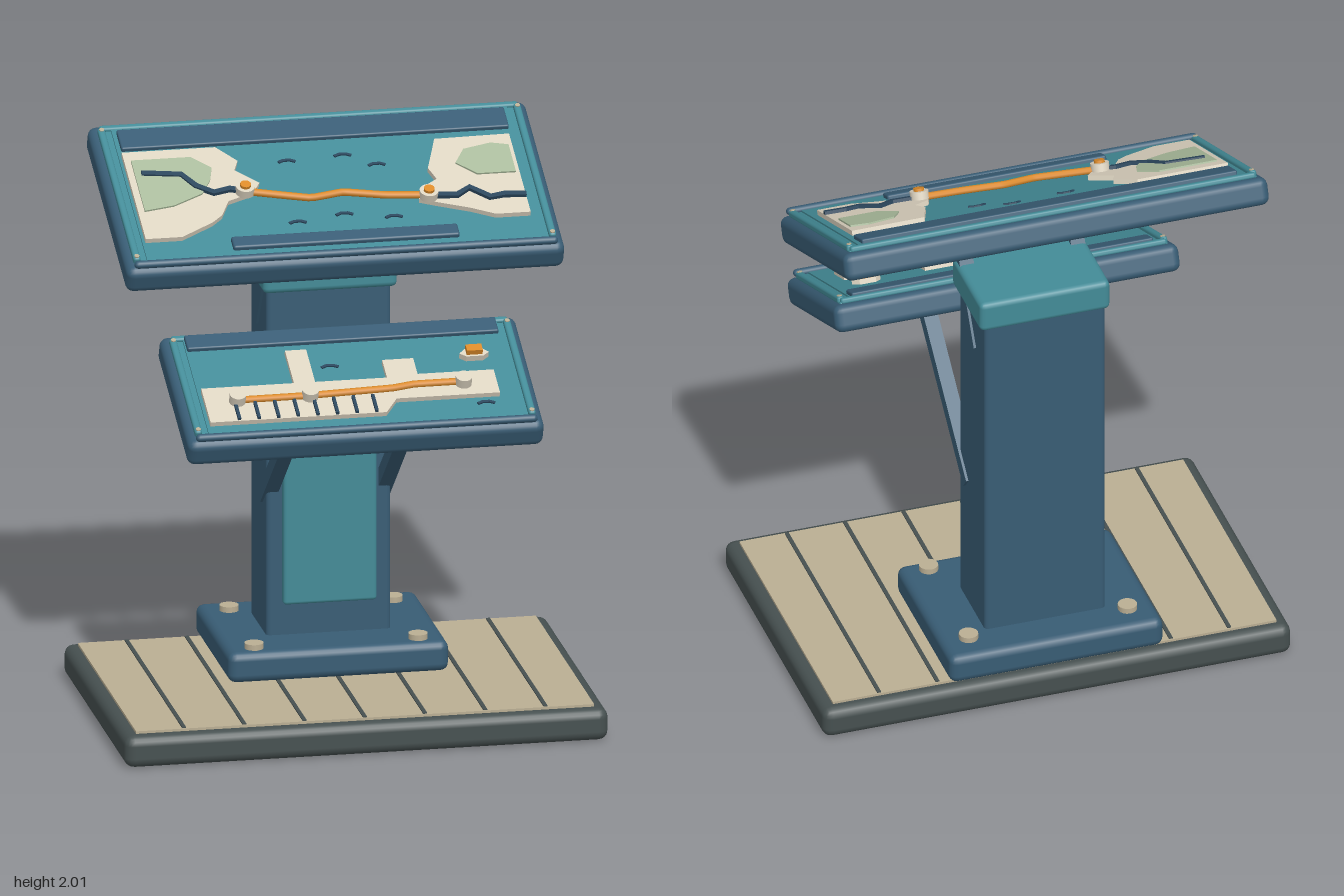
import * as THREE from 'three';
import { RoundedBoxGeometry } from 'three/addons/geometries/RoundedBoxGeometry.js';

const paint = (name, color) => {
  const m = new THREE.MeshStandardMaterial({ color });
  m.name = name;
  return m;
};

export function createModel() {
  const navy = paint('navy', 0x385c74);
  const darkNavy = paint('dark navy', 0x2a465c);
  const teal = paint('teal', 0x438b97);
  const land = paint('land cream', 0xdcd3c0);
  const moss = paint('moss green', 0xaabb9c);
  const orange = paint('orange', 0xdb8a28);
  const deckTan = paint('deck tan', 0xbaae93);
  const charcoal = paint('charcoal', 0x465050);

  const model = new THREE.Group();
  model.name = 'mapStand';

  const add = (parent, name, geo, mat, x = 0, y = 0, z = 0) => {
    const m = new THREE.Mesh(geo, mat);
    m.name = name;
    m.position.set(x, y, z);
    parent.add(m);
    return m;
  };
  const box = (w, h, d) => new THREE.BoxGeometry(w, h, d);
  const rbox = (w, h, d, r) => new RoundedBoxGeometry(w, h, d, 2, r);
  const disc = (r, h, n = 16) => new THREE.CylinderGeometry(r, r, h, n);

  // Flat raised plate from an [x, z] outline
  const plate = (pts, h) => {
    const shape = new THREE.Shape(pts.map(([x, z]) => new THREE.Vector2(x, -z)));
    return new THREE.ExtrudeGeometry(shape, { depth: h, bevelEnabled: false }).rotateX(-Math.PI / 2);
  };
  // Constant-width strip along an [x, z] path
  const ribbon = (pts, width, h) => {
    const left = [], right = [];
    pts.forEach(([x, z], i) => {
      const a = pts[Math.max(i - 1, 0)], b = pts[Math.min(i + 1, pts.length - 1)];
      const len = Math.hypot(b[0] - a[0], b[1] - a[1]);
      const nx = -(b[1] - a[1]) / len * width / 2, nz = (b[0] - a[0]) / len * width / 2;
      left.push([x + nx, z + nz]);
      right.unshift([x - nx, z - nz]);
    });
    return plate([...left, ...right], h);
  };
  const route = (pts, y, r) => new THREE.TubeGeometry(
    new THREE.CatmullRomCurve3(pts.map(([x, z]) => new THREE.Vector3(x, y, z)), false, 'catmullrom', 0.1),
    32, r, 8);

  // Base with plank deck
  add(model, 'baseSlab', rbox(1.71, 0.115, 1.13, 0.035), charcoal, 0, 0.0575, 0);
  add(model, 'deck', box(1.62, 0.02, 1.04), deckTan, 0, 0.114, 0);
  for (let i = -3; i <= 3; i++) add(model, 'plankGap', box(0.014, 0.006, 1.03), charcoal, i * 0.213, 0.125, 0);

  // Foot plate and bolts
  add(model, 'footPlate', rbox(0.78, 0.11, 0.615, 0.03), navy, 0, 0.18, -0.247);
  for (const x of [-0.29, 0.29]) for (const z of [0, -0.445])
    add(model, 'footBolt', disc(0.034, 0.03), deckTan, x, 0.24, z);

  // Column, front panel and cap
  add(model, 'column', rbox(0.44, 1.33, 0.285, 0.015), navy, 0, 0.865, -0.273);
  add(model, 'columnPanel', rbox(0.33, 0.95, 0.04, 0.012), teal, 0, 0.825, -0.12);
  add(model, 'columnCap', rbox(0.475, 0.115, 0.325, 0.02), teal, 0, 1.543, -0.258);

  // Mirrored support struts
  const strut = (name, y0, z0, y1, z1) => {
    for (const x of [-0.203, 0.203]) {
      const s = add(model, name, box(0.052, 0.052, Math.hypot(y1 - y0, z1 - z0)), navy, x, (y0 + y1) / 2, (z0 + z1) / 2);
      s.rotation.x = -Math.atan2(y1 - y0, z1 - z0);
    }
  };
  strut('upperStrut', 1.34, -0.295, 1.74, -0.045);
  strut('lowerStrut', 0.72, -0.215, 1.18, 0.345);

  // Tilted display board with rim, rails and title bar
  const TOP = 0.064;
  const board = (name, w, d, y, z, header) => {
    const g = new THREE.Group();
    g.name = name;
    g.position.set(0, y, z);
    g.rotation.x = 0.4;
    model.add(g);
    const hx = w / 2 - 0.04, hz = d / 2 - 0.04;
    add(g, 'boardBody', rbox(w, 0.1, d, 0.03), navy);
    add(g, 'boardBezel', rbox(w - 0.06, 0.03, d - 0.06, 0.01), teal, 0, 0.043, 0);
    add(g, 'boardField', box(w - 0.15, 0.02, d - 0.09), teal, 0, TOP - 0.01, 0);
    for (const s of [-1, 1]) {
      add(g, 'sideRail', rbox(0.026, 0.026, d - 0.09, 0.009), teal, s * hx, 0.06, 0);
      for (const t of [-1, 1]) add(g, 'cornerScrew', disc(0.009, 0.012, 10), deckTan, s * hx, 0.07, t * (hz - 0.02));
    }
    add(g, 'backRail', rbox(w - 0.07, 0.022, 0.026, 0.009), teal, 0, 0.058, -hz);
    add(g, 'frontRail', new THREE.CapsuleGeometry(0.014, w - 0.08, 4, 10).rotateZ(Math.PI / 2), navy, 0, 0.064, d / 2 - 0.024);
    add(g, 'titleBar', rbox(header.w, 0.022, header.d, 0.006), navy, 0, TOP + 0.004, header.z);
    return g;
  };
  const waves = (g, spots) => spots.forEach(([x, z]) => add(g, 'waveMark',
    ribbon([[x - 0.03, z + 0.004], [x - 0.012, z - 0.005], [x + 0.012, z - 0.005], [x + 0.03, z + 0.004]], 0.011, 0.005),
    darkNavy, 0, TOP, 0));
  const LAND = 0.018, SURF = TOP + LAND;

  // Upper board: two shores joined by a route
  const upper = board('upperBoard', 1.55, 0.8, 1.8, -0.187, { w: 1.37, d: 0.104, z: -0.28 });
  add(upper, 'captionBar', rbox(0.8, 0.024, 0.06, 0.008), navy, 0.01, TOP + 0.004, 0.301);
  add(upper, 'leftShore', plate([[-0.69, -0.203], [-0.36, -0.203], [-0.295, -0.124], [-0.315, -0.074], [-0.24, 0],
    [-0.27, 0.05], [-0.365, 0.087], [-0.4, 0.159], [-0.44, 0.195], [-0.56, 0.263], [-0.69, 0.263]], LAND), land, 0, TOP, 0);
  add(upper, 'rightShore', plate([[0.41, -0.178], [0.676, -0.183], [0.676, 0.239], [0.553, 0.239], [0.47, 0.199],
    [0.36, 0.159], [0.3, 0.135], [0.32, 0.076], [0.38, 0.035], [0.36, -0.025], [0.393, -0.124]], LAND), land, 0, TOP, 0);
  add(upper, 'leftMeadow', plate([[-0.667, -0.152], [-0.457, -0.152], [-0.393, -0.089], [-0.41, -0.025], [-0.45, 0.045],
    [-0.56, 0.1], [-0.667, 0.119]], 0.006), moss, 0, SURF, 0);
  add(upper, 'rightMeadow', plate([[0.5, -0.109], [0.6, -0.134], [0.662, -0.119], [0.662, 0.025], [0.525, 0.025],
    [0.46, -0.039]], 0.006), moss, 0, SURF, 0);
  add(upper, 'leftRiver', ribbon([[-0.644, -0.079], [-0.507, -0.06], [-0.466, 0.005], [-0.41, 0.045], [-0.35, 0.03],
    [-0.3, 0.047]], 0.022, 0.012), darkNavy, 0, SURF, 0);
  add(upper, 'rightRiver', ribbon([[0.335, 0.125], [0.434, 0.134], [0.484, 0.098], [0.548, 0.154], [0.6, 0.144],
    [0.676, 0.149]], 0.022, 0.012), darkNavy, 0, SURF, 0);
  add(upper, 'crossingRoute', route([[-0.3, 0.045], [-0.078, 0.1], [0.04, 0.08], [0.187, 0.109], [0.335, 0.122]], SURF + 0.004, 0.013), orange);
  for (const [x, z] of [[-0.3, 0.045], [0.335, 0.125]]) {
    add(upper, 'routeStop', disc(0.033, 0.03, 20), land, x, SURF + 0.013, z);
    add(upper, 'routeStopCentre', disc(0.019, 0.014, 16), orange, x, SURF + 0.031, z);
  }
  waves(upper, [[-0.12, -0.124], [0.08, -0.139], [0.19, -0.079], [-0.14, 0.203], [0.03, 0.174], [0.2, 0.203]]);

  // Lower board: harbour with piers and a boat
  const lower = board('lowerBoard', 1.26, 0.6, 1.235, 0.27, { w: 1.1, d: 0.075, z: -0.222 });
  add(lower, 'harbourQuay', plate([[-0.543, 0.035], [-0.215, 0.035], [-0.215, -0.14], [-0.14, -0.14], [-0.14, 0.035],
    [0.114, 0.035], [0.114, -0.06], [0.224, -0.06], [0.224, 0.025], [0.493, 0.025], [0.493, 0.149], [0.128, 0.149],
    [0.08, 0.218], [-0.543, 0.218]], LAND), land, 0, TOP, 0);
  for (let i = 0; i < 8; i++) add(lower, 'pier', box(0.011, 0.012, 0.085), darkNavy, -0.44 + i * 0.0694, SURF + 0.004, 0.172);
  add(lower, 'harbourRoute', route([[-0.43, 0.115], [-0.173, 0.113], [0.12, 0.1], [0.2, 0.086], [0.374, 0.085]], SURF + 0.006, 0.013), orange);
  for (const [x, z] of [[-0.43, 0.115], [-0.173, 0.115], [0.374, 0.09]])
    add(lower, 'harbourStop', disc(0.029, 0.036, 16), land, x, SURF + 0.016, z);
  add(lower, 'boatHull', plate([[0.388, -0.065], [0.41, -0.088], [0.47, -0.088], [0.492, -0.065], [0.47, -0.047],
    [0.41, -0.047]], 0.022), land, 0, TOP, 0);
  add(lower, 'boatCabin', box(0.056, 0.022, 0.034), orange, 0.44, TOP + 0.03, -0.072);
  waves(lower, [[-0.07, -0.06], [0.44, 0.18]]);

  return model;
}
